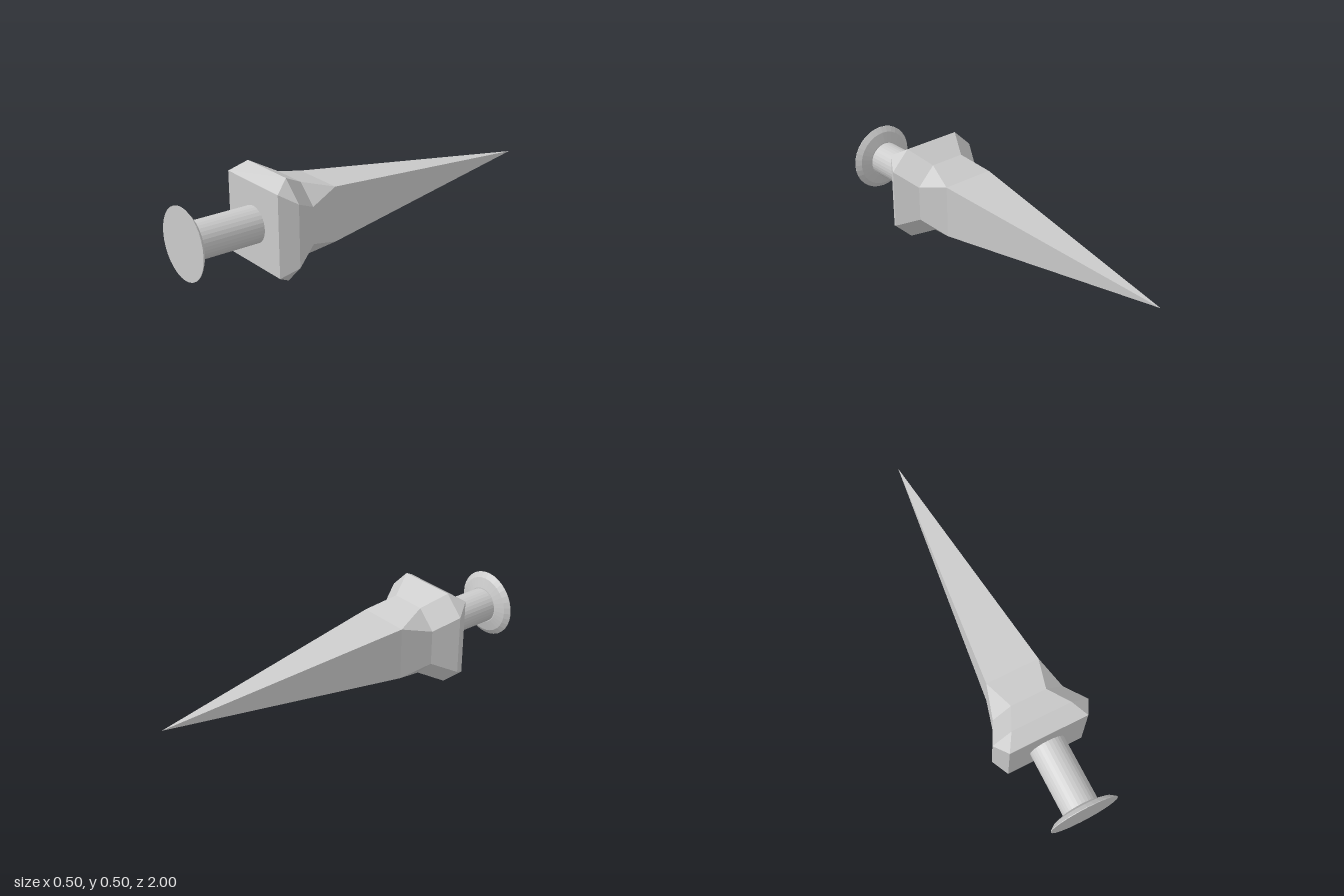
import * as THREE from 'three';

const CENTRE_Y = 0.249;
const material = new THREE.MeshStandardMaterial({ color: 0xcccccc, flatShading: true });

// Cross-sections along z: [z, half width, half length of the flat side].
// Equal values give a square, otherwise a square with cut corners.
const SECTIONS = [
  [0.633, 0, 0],
  [0.633, 0.201, 0.201],
  [0.555, 0.249, 0.153],
  [0.432, 0.184, 0.091],
  [0.272, 0.137, 0.137],
  [-1, 0, 0],
];

function ring([z, a, c]) {
  return [[a, -c], [a, c], [c, a], [-c, a], [-a, c], [-a, -c], [-c, -a], [c, -a]]
    .map(([x, y]) => new THREE.Vector3(x, y, z));
}

// Skins consecutive rings, leaving out collapsed triangles
function loft(sections) {
  const rings = sections.map(ring);
  const points = [];
  const addTriangle = (a, b, c) => {
    if (new THREE.Triangle(a, b, c).getArea() > 1e-7) points.push(a, b, c);
  };
  for (let i = 0; i < rings.length - 1; i++) {
    for (let k = 0; k < 8; k++) {
      const n = (k + 1) % 8;
      addTriangle(rings[i][k], rings[i + 1][k], rings[i][n]);
      addTriangle(rings[i][n], rings[i + 1][k], rings[i + 1][n]);
    }
  }
  const geometry = new THREE.BufferGeometry().setFromPoints(points);
  geometry.computeVertexNormals();
  return geometry;
}

// Turned part around the z axis from [radius, z] pairs
function turned(profile) {
  const points = profile.map(([r, z]) => new THREE.Vector2(r, z));
  return new THREE.LatheGeometry(points, 32).rotateX(Math.PI / 2);
}

export function createModel() {
  const model = new THREE.Group();
  model.name = 'spike';
  const add = (name, geometry) => {
    const mesh = new THREE.Mesh(geometry, material);
    mesh.name = name;
    mesh.position.y = CENTRE_Y;
    model.add(mesh);
  };

  // Faceted collar running into the long four-sided point
  add('collarAndBlade', loft(SECTIONS));

  // Round grip
  add('handle', turned([[0.09, 0.62], [0.09, 0.97]]));

  // Flat end disc with a bevelled back
  add('pommel', turned([[0, 0.962], [0.095, 0.962], [0.148, 0.977], [0.174, 0.997], [0.174, 1], [0, 1]]));

  return model;
}
